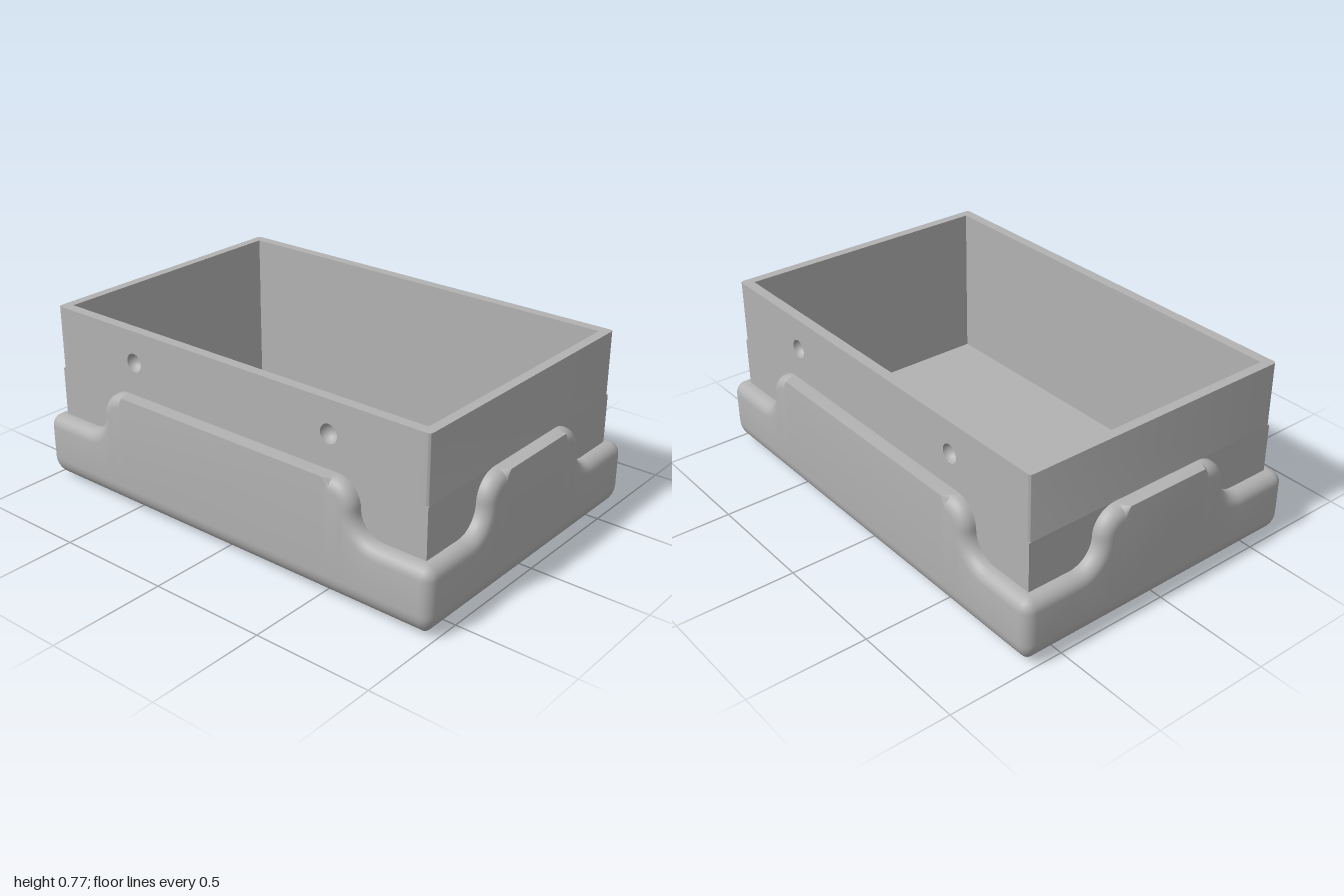
import * as THREE from 'three';
import { toCreasedNormals } from 'three/addons/utils/BufferGeometryUtils.js';

const HX = 1, HZ = 0.667;          // outer half sizes of the base
const LOW = 0.29, HIGH = 0.5;      // rim heights
const R = (HIGH - LOW) / 2;        // radius of the S-curves
const EDGE = 0.05, FOOT = 0.1, LIP = 0.06;
const TOP = 0.775;

// Rim outline of one side, from its middle outward: position, height, normal and edge rounding
function rimHalf(flat) {
  const mid = (LOW + HIGH) / 2, n = 12;
  const out = [{ u: flat - 0.022, h: HIGH, nu: 0, nh: 1, r: 0 }];
  for (let i = 0; i <= n; i++) {
    const a = Math.PI / 2 * (1 - i / n), c = Math.cos(a), s = Math.sin(a);
    out.push({ u: flat + R * c, h: mid + R * s, nu: c, nh: s, r: EDGE });
  }
  for (let i = 1; i <= n; i++) {
    const a = Math.PI * (1 + i / n / 2), c = Math.cos(a), s = Math.sin(a);
    out.push({ u: flat + 2 * R + R * c, h: mid + R * s, nu: -c, nh: -s, r: EDGE });
  }
  return out;
}

// Base skirt: vertical cross-sections swept around the rounded rectangle
function skirtGeometry() {
  const columns = [];
  for (let k = 0; k < 4; k++) {
    const f = k * Math.PI / 2;
    const side = {
      o: [Math.round(Math.cos(f)), Math.round(Math.sin(f))],
      t: [-Math.round(Math.sin(f)), Math.round(Math.cos(f))],
      ho: k % 2 ? HZ : HX, hu: k % 2 ? HX : HZ,
    };
    const half = rimHalf(k % 2 ? 0.545 : 0.21);
    const mirrored = half.map(p => ({ ...p, u: -p.u, nu: -p.nu })).reverse();
    for (const p of [...mirrored, ...half]) columns.push({ ...side, ...p });
    for (let i = 0; i <= 6; i++) {
      columns.push({ ...side, corner: i / 6 * Math.PI / 2, h: LOW, nu: 0, nh: 1, r: EDGE });
    }
  }

  // Point of a column at a given inset from the outside
  const place = (c, inset, depth, y) => {
    const m = Math.max(inset, EDGE), q = Math.max(EDGE - inset, 0);
    let a, b;
    if (c.corner !== undefined) {
      a = c.ho - m + q * Math.cos(c.corner);
      b = c.hu - m + q * Math.sin(c.corner);
    } else {
      a = c.ho - inset;
      b = THREE.MathUtils.clamp(c.u - c.nu * depth, m - c.hu, c.hu - m);
    }
    return [c.o[0] * a + c.t[0] * b, y ?? c.h - c.nh * depth, -(c.o[1] * a + c.t[1] * b)];
  };

  const section = c => {
    const pts = [];
    for (let i = 0; i <= 10; i++) {             // rounded foot
      const a = i / 10 * Math.PI / 2;
      pts.push(place(c, FOOT * (1 - Math.sin(a)), c.r, FOOT * (1 - Math.cos(a))));
    }
    for (let i = 0; i <= 6; i++) {              // rounded rim
      const a = i / 6 * Math.PI / 2;
      pts.push(place(c, c.r * (1 - Math.cos(a)), c.r * (1 - Math.sin(a))));
    }
    pts.push(place(c, LIP, 0));                 // lip meeting the inner wall
    return pts;
  };

  const sections = columns.map(section), rows = sections[0].length;
  const index = [];
  for (let j = 0; j < sections.length; j++) {
    const k = (j + 1) % sections.length;
    for (let i = 0; i < rows - 1; i++) {
      const a = j * rows + i, b = k * rows + i;
      index.push(a, b, b + 1, a, b + 1, a + 1);
    }
  }
  const geo = new THREE.BufferGeometry();
  geo.setAttribute('position', new THREE.Float32BufferAttribute(sections.flat(2), 3));
  geo.setIndex(index);
  return toCreasedNormals(geo, 0.6);
}

// Closed outline through points given as [x, z]
const outline = pts => new THREE.Shape(pts.map(p => new THREE.Vector2(...p)));
const rect = (x, z) => [[-x, -z], [x, -z], [x, z], [-x, z]];

// Plan shape raised from y0 to y1
function raise(shape, y0, y1) {
  const geo = new THREE.ExtrudeGeometry(shape, { depth: y1 - y0, bevelEnabled: false, curveSegments: 6 });
  return geo.rotateX(-Math.PI / 2).translate(0, y0, 0);
}

export function createModel() {
  const group = new THREE.Group();
  const grey = new THREE.MeshStandardMaterial({ color: 0xb2b2b2, side: THREE.DoubleSide });
  grey.name = 'grey';
  const add = (name, geo, parent = group) => {
    const mesh = new THREE.Mesh(geo, grey);
    mesh.name = name;
    parent.add(mesh);
    return mesh;
  };

  const WX = 0.94, WZ = 0.607, IX = 0.9, IZ = 0.563, LINER = 0.567;

  add('baseSkirt', skirtGeometry());
  add('baseBottom', new THREE.PlaneGeometry(2 * (HX - FOOT), 2 * (HZ - FOOT)).rotateX(Math.PI / 2));
  add('floor', new THREE.BoxGeometry(2 * IX, 0.04, 2 * IZ).translate(0, 0.08, 0));

  // Lower wall with square corners
  const lower = outline(rect(WX, WZ));
  lower.holes.push(outline(rect(IX, IZ)));
  add('lowerWall', raise(lower, 0.06, HIGH));

  // Upper wall with softened corners, recessed front and back for the drilled plates
  const c = 0.015, upper = new THREE.Shape();
  upper.moveTo(IX, -WZ);
  upper.lineTo(WX - c, -WZ);
  upper.absarc(WX - c, -WZ + c, c, -Math.PI / 2, 0);
  upper.absarc(WX - c, WZ - c, c, 0, Math.PI / 2);
  for (const p of [[IX, WZ], [IX, LINER], [-IX, LINER], [-IX, WZ]]) upper.lineTo(...p);
  upper.absarc(-WX + c, WZ - c, c, Math.PI / 2, Math.PI);
  upper.absarc(-WX + c, -WZ + c, c, Math.PI, Math.PI * 1.5);
  for (const p of [[-IX, -WZ], [-IX, -LINER], [IX, -LINER]]) upper.lineTo(...p);
  upper.holes.push(outline(rect(IX - 0.0005, IZ)));
  add('upperWall', toCreasedNormals(raise(upper, HIGH, TOP), 0.6));

  // Front and back plates with round dimples
  const holeR = 0.039, holeY = 0.64;
  for (const [name, turn] of [['frontPlate', 0], ['backPlate', Math.PI]]) {
    const side = new THREE.Group();
    side.name = name;
    side.rotation.y = turn;
    const plate = outline([[-IX, HIGH], [IX, HIGH], [IX, TOP], [-IX, TOP]]);
    for (const x of [-0.5, 0.5]) {
      plate.holes.push(new THREE.Path().absarc(x, holeY, holeR, 0, Math.PI * 2));
      const bowl = new THREE.SphereGeometry(holeR, 32, 10, 0, Math.PI * 2, 0, Math.PI / 2);
      add('dimple', bowl.rotateX(-Math.PI / 2).translate(x, holeY, WZ), side);
    }
    const geo = new THREE.ExtrudeGeometry(plate, { depth: WZ - LINER, bevelEnabled: false, curveSegments: 32 });
    add('drilledPlate', geo.translate(0, 0, LINER), side);
    group.add(side);
  }
  return group;
}
